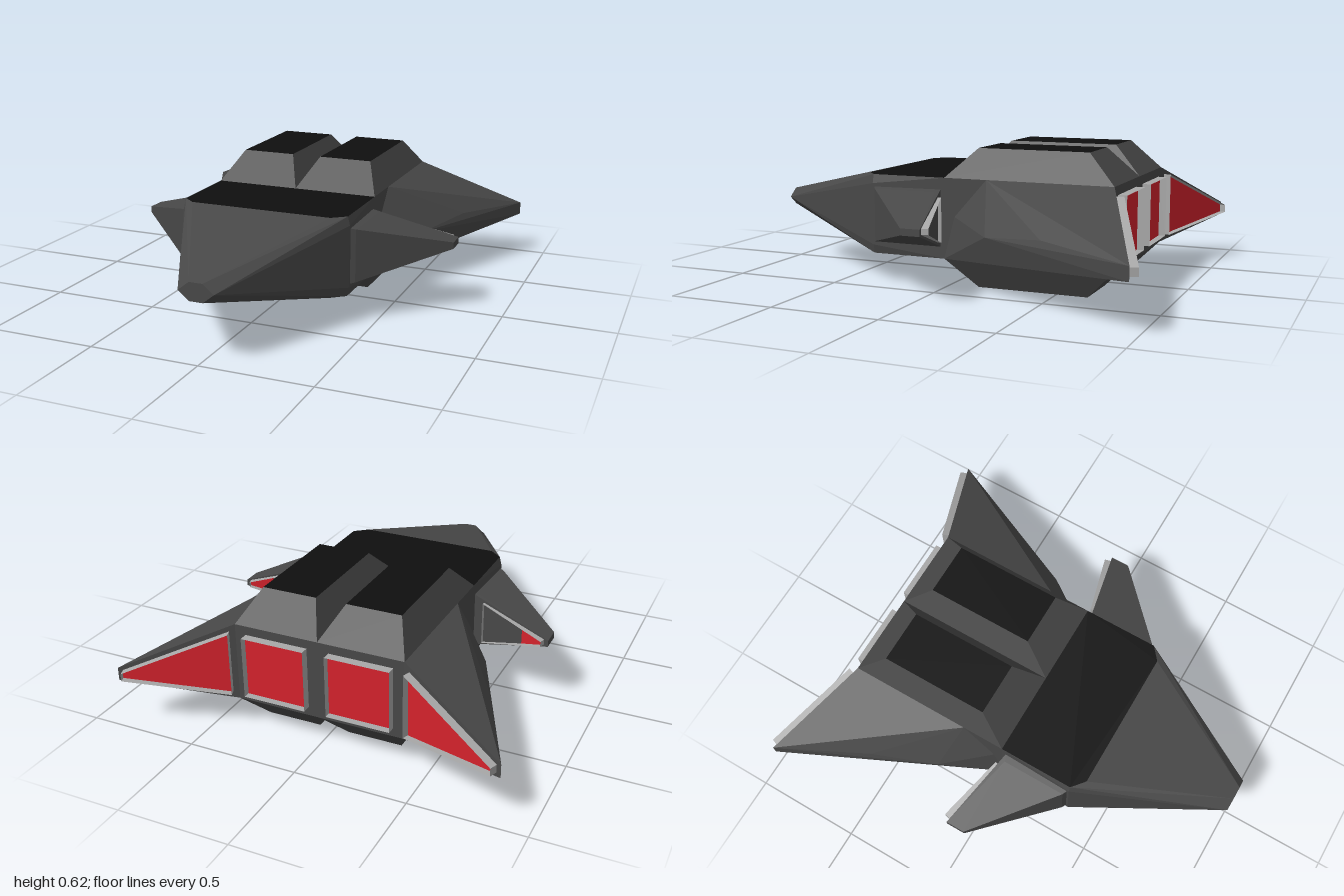
import * as THREE from 'three';
import { ConvexGeometry } from 'three/addons/geometries/ConvexGeometry.js';

const material = (name, color, side = THREE.FrontSide) => {
  const m = new THREE.MeshStandardMaterial({ color, side, flatShading: true });
  m.name = name;
  return m;
};

export function createModel() {
  const hullGrey = material('hull grey', 0x484848);
  const deckBlack = material('deck black', 0x0f0f0f);
  const glowRed = material('engine red', 0xd4222c, THREE.DoubleSide);
  const rimGrey = material('rim grey', 0xa8a8a8, THREE.DoubleSide);
  const model = new THREE.Group();
  model.name = 'spacecraft';

  const vec = (p) => new THREE.Vector3(...p);
  const mirrorX = (pts, s) => pts.map(([x, y, z]) => [x * s, y, z]);
  const add = (name, geo, mat) => {
    const mesh = new THREE.Mesh(geo, mat);
    mesh.name = name;
    model.add(mesh);
  };

  // Faceted solid whose level faces are black and whose other faces are grey
  function solid(name, pts) {
    const geo = new ConvexGeometry(pts.map(vec));
    const normal = geo.attributes.normal;
    for (let i = 0; i < normal.count; i += 3) {
      geo.addGroup(i, 3, Math.abs(normal.getY(i)) > 0.99 ? 1 : 0);
    }
    add(name, geo, [hullGrey, deckBlack]);
  }

  // Flat fan through a loop of corners
  function fan(loop) {
    const pos = [];
    for (let i = 1; i < loop.length - 1; i++) pos.push(...loop[0], ...loop[i], ...loop[i + 1]);
    const geo = new THREE.BufferGeometry();
    geo.setAttribute('position', new THREE.Float32BufferAttribute(pos, 3));
    geo.computeVertexNormals();
    return geo;
  }

  // Red engine panel inside an open rim that stands out by the offset
  function engine(name, loop, offset) {
    const shift = (p, k) => p.map((v, i) => v + offset[i] * k);
    add(name + 'Glow', fan(loop.map((p) => shift(p, 0.2))), glowRed);
    const pos = [];
    loop.forEach((a, i) => {
      const b = loop[(i + 1) % loop.length];
      const c = shift(b, 1), d = shift(a, 1);
      pos.push(...a, ...b, ...c, ...a, ...c, ...d);
    });
    const geo = new THREE.BufferGeometry();
    geo.setAttribute('position', new THREE.Float32BufferAttribute(pos, 3));
    geo.computeVertexNormals();
    add(name + 'Rim', geo, rimGrey);
  }

  // Fuselage: tapered nose and mid section, then the rear block
  const nose = [];
  for (const s of [1, -1]) {
    nose.push([0.08 * s, 0.31, 1]);
    for (const v of [1, -1]) {
      const y = (h) => 0.31 + h * v;
      nose.push([0.03 * s, y(0.04), 1], [0.33 * s, y(0.18), 0.4], [0.39 * s, y(0.18), 0.35],
        [0.4 * s, y(0.14), 0.35], [0.39 * s, y(0.18), 0]);
    }
  }
  solid('nose', nose);
  const rear = new THREE.BoxGeometry(0.78, 0.36, 0.77);
  rear.translate(0, 0.31, -0.385);
  add('rearBody', rear, hullGrey);

  for (const s of [1, -1]) {
    const side = s > 0 ? 'left' : 'right';

    // Bevelled engine housings above and below
    for (const v of [1, -1]) {
      const base = 0.31 + 0.18 * v, cap = 0.31 + 0.31 * v;
      solid(side + (v > 0 ? 'UpperHousing' : 'LowerHousing'), mirrorX([
        [0, base, 0], [0.39, base, 0], [0.39, base, -0.77], [0, base, -0.77],
        [0.07, cap, -0.135], [0.32, cap, -0.135], [0.32, cap, -0.64], [0.07, cap, -0.64],
      ], s));
    }

    // Large swept rear wing
    solid(side + 'RearWing', mirrorX([
      [0.39, 0.49, -0.2], [0.39, 0.32, -0.05], [0.39, 0.13, 0], [0.55, 0.27, -0.26],
      [0.67, 0.3, -0.55], [0.87, 0.27, -0.97], [0.87, 0.21, -0.97],
      [0.39, 0.49, -0.77], [0.39, 0.13, -0.77],
    ], s));

    // Small forward wing
    solid(side + 'FrontWing', mirrorX([
      [0.38, 0.44, 0.35], [0.38, 0.18, 0.35], [0.42, 0.43, 0.33], [0.42, 0.19, 0.33],
      [0.38, 0.44, 0.02], [0.38, 0.18, 0.02], [0.42, 0.43, 0.03], [0.42, 0.19, 0.03],
      [0.77, 0.325, 0.02], [0.77, 0.295, 0.02], [0.77, 0.325, -0.07], [0.77, 0.295, -0.07],
    ], s));

    // Engine panels on the rear body and on both wings
    engine(side + 'MainEngine', mirrorX([
      [0.05, 0.17, -0.77], [0.05, 0.45, -0.77], [0.34, 0.45, -0.77], [0.34, 0.17, -0.77],
    ], s), [0, 0, -0.04]);
    engine(side + 'RearWingEngine', mirrorX([
      [0.415, 0.165, -0.78], [0.415, 0.455, -0.78], [0.85, 0.26, -0.962], [0.85, 0.225, -0.962],
    ], s), [-0.013 * s, 0, -0.035]);
    engine(side + 'FrontWingEngine', mirrorX([
      [0.445, 0.21, 0.022], [0.445, 0.41, 0.022], [0.75, 0.325, -0.065], [0.75, 0.3, -0.065],
    ], s), [-0.008 * s, 0, -0.03]);
  }
  return model;
}
